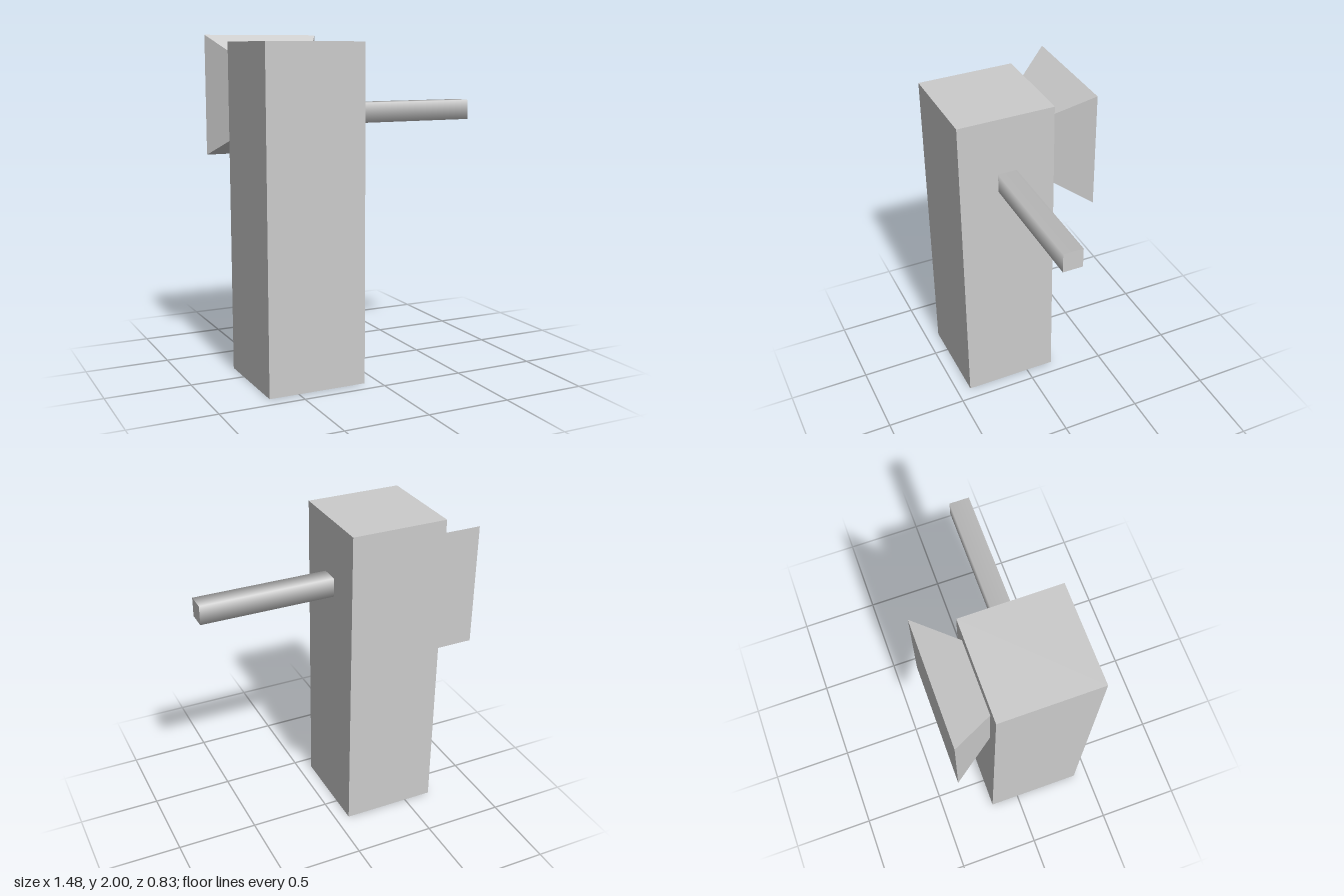
import * as THREE from 'three';

// Four-sided prism or frustum along y, with its faces square to the axes
function squarePrism(topSide, bottomSide, length) {
  const geometry = new THREE.CylinderGeometry(topSide * Math.SQRT1_2, bottomSide * Math.SQRT1_2, length, 4);
  return geometry.rotateY(Math.PI / 4);
}

export function createModel() {
  const group = new THREE.Group();
  const smooth = new THREE.MeshStandardMaterial({ color: 0xcccccc });
  const flat = new THREE.MeshStandardMaterial({ color: 0xcccccc, flatShading: true });

  function add(name, geometry, material, x, y, z) {
    const mesh = new THREE.Mesh(geometry, material);
    mesh.name = name;
    mesh.position.set(x, y, z);
    group.add(mesh);
  }

  // Upright square column
  add('column', new THREE.BoxGeometry(0.592, 1.96, 0.592), flat, -0.381, 0.98, 0.117);

  // Square bar with softened shading, reaching out to the left side
  add('sideBar', squarePrism(0.117, 0.117, 0.824).rotateZ(-Math.PI / 2), smooth, 0.328, 1.55, 0.117);

  // Flared block on the back, widening away from the column
  add('backFlare', squarePrism(0.427, 0.717, 0.237).rotateX(Math.PI / 2), flat, -0.381, 1.642, -0.296);

  return group;
}
